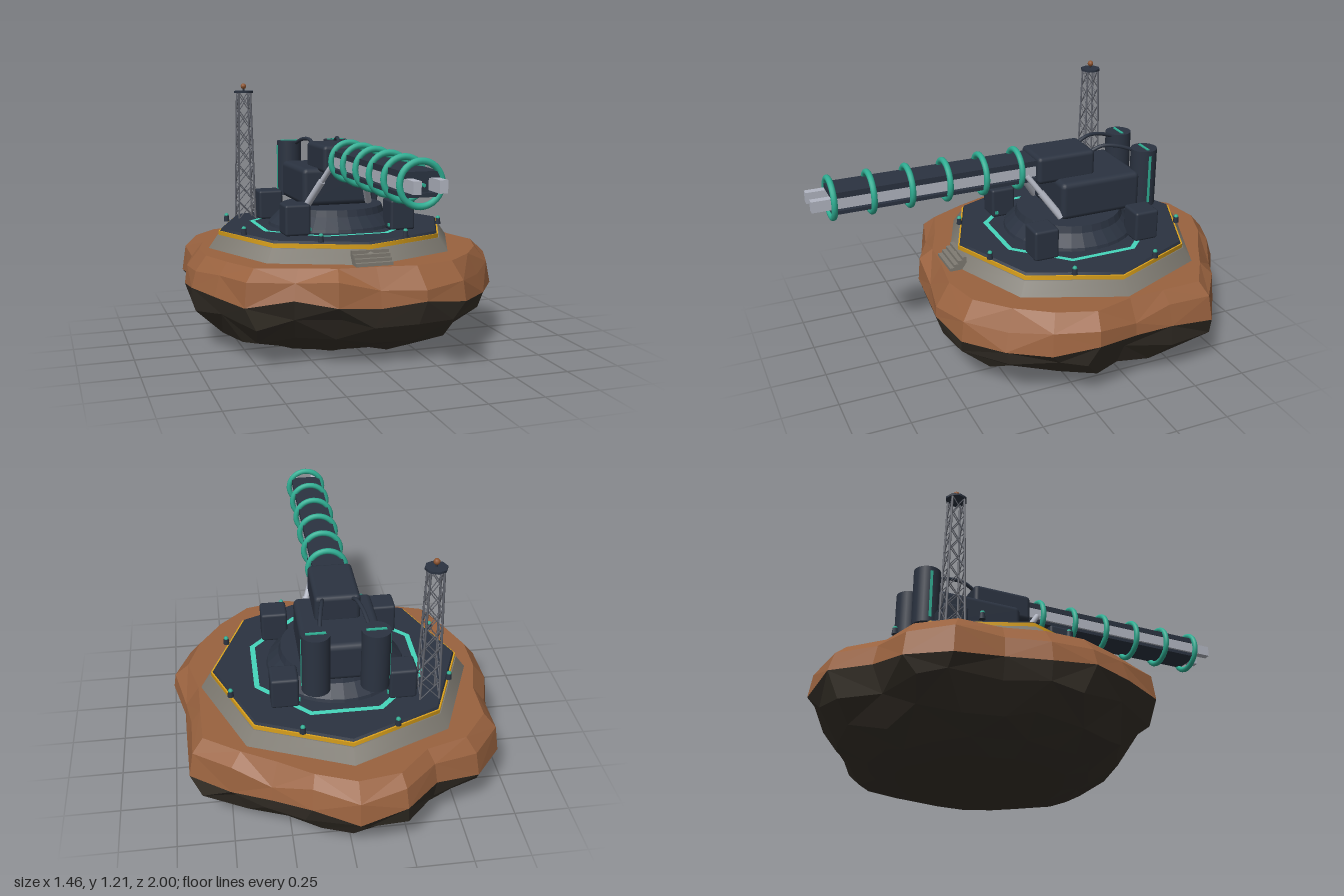
import * as THREE from 'three';
import { RoundedBoxGeometry } from 'three/addons/geometries/RoundedBoxGeometry.js';

const paint = (name, color, extra = {}) => {
  const m = new THREE.MeshStandardMaterial({ color, ...extra });
  m.name = name;
  return m;
};

export function createModel() {
  const brown = paint('brownRock', 0x99623f, { flatShading: true });
  const darkRock = paint('darkRock', 0x38322a, { flatShading: true });
  const concrete = paint('concrete', 0x7f7b72);
  const gold = paint('goldTrim', 0xdca21c);
  const navy = paint('navyArmour', 0x2b3341);
  const teal = paint('tealCoil', 0x2fae93);
  const glow = paint('tealGlow', 0x45d6bb);
  const light = paint('lightMetal', 0xb2b6c2);
  const steel = paint('towerSteel', 0x62656e);
  const rust = paint('beaconRust', 0x8f5530);

  const model = new THREE.Group();
  model.name = 'islandCannon';
  const site = new THREE.Group();
  site.name = 'site';
  site.position.set(-0.007, 0, -0.22);
  model.add(site);

  const add = (name, geo, mat, x = 0, y = 0, z = 0, parent = site) => {
    const m = new THREE.Mesh(geo, mat);
    m.name = name;
    m.position.set(x, y, z);
    parent.add(m);
    return m;
  };
  const box = (w, h, d) => new THREE.BoxGeometry(w, h, d);
  const rbox = (w, h, d, r) => new RoundedBoxGeometry(w, h, d, 2, r);
  const cyl = (rt, rb, h, n = 24) => new THREE.CylinderGeometry(rt, rb, h, n);
  const V = (x, y, z) => new THREE.Vector3(x, y, z);
  // Straight bar between two points
  const bar = (name, a, b, r, mat, n = 5) => {
    const m = add(name, cyl(r, r, a.distanceTo(b), n), mat);
    m.position.copy(a).add(b).multiplyScalar(0.5);
    m.quaternion.setFromUnitVectors(V(0, 1, 0), b.clone().sub(a).normalize());
    return m;
  };

  // Floating rock: outline radii every 15 degrees from +x towards +z, scaled per level
  const outline = [0.69, 0.765, 0.775, 0.785, 0.805, 0.77, 0.715, 0.725, 0.725, 0.795, 0.755, 0.75,
    0.725, 0.70, 0.78, 0.775, 0.70, 0.775, 0.778, 0.73, 0.695, 0.72, 0.785, 0.71];
  const levels = [[0, 0], [0, 0.5], [0.03, 0.66], [0.1, 0.85], [0.2, 0.97], [0.29, 1],
    [0.375, 0.995], [0.445, 0.9], [0.445, 0]];
  let seed = 7;
  const rnd = () => (seed = (seed * 16807) % 2147483647) / 2147483647;
  const rows = levels.map(([y, s], k) => outline.map((r, i) => {
    const inner = k > 1 && k < 7;
    const t = (i + (inner && k < 5 ? (rnd() - 0.5) * 0.5 : 0)) * Math.PI / 12;
    const soft = k < 4 ? 0.74 + (r - 0.74) * 0.7 : r;
    const rad = soft * s * (inner && k !== 5 ? 1 - rnd() * 0.035 : 1);
    const yy = y + (inner ? (rnd() - 0.5) * (k === 2 ? 0.03 : 0.055) : 0);
    return [rad * Math.cos(t), yy, rad * Math.sin(t)];
  }));
  const rockBand = (name, from, to, mat) => {
    const p = [];
    for (let k = from; k < to; k++) {
      for (let i = 0; i < 24; i++) {
        const j = (i + 1) % 24;
        const a = rows[k][i], b = rows[k][j], c = rows[k + 1][i], d = rows[k + 1][j];
        if ((i + k) % 2) p.push(...a, ...c, ...b, ...b, ...c, ...d);
        else p.push(...a, ...d, ...b, ...a, ...c, ...d);
      }
    }
    const g = new THREE.BufferGeometry();
    g.setAttribute('position', new THREE.Float32BufferAttribute(p, 3));
    g.computeVertexNormals();
    add(name, g, mat);
  };
  rockBand('lowerRock', 0, 5, darkRock);
  rockBand('upperRock', 5, 8, brown);

  // Octagonal foundation and deck
  add('foundation', cyl(0.565, 0.612, 0.066, 8), concrete, 0, 0.473, 0);
  add('goldEdge', cyl(0.56, 0.56, 0.02, 8), gold, 0, 0.515, 0);
  add('deck', cyl(0.546, 0.553, 0.012, 8), navy, 0, 0.53, 0);
  const inlay = add('deckInlay', new THREE.RingGeometry(0.381, 0.406, 8, 1, Math.PI / 8), glow, 0, 0.5385, 0);
  inlay.rotation.x = -Math.PI / 2;
  for (let i = 0; i < 4; i++) {
    const h = 0.06 - i * 0.015;
    add('step', box(0.17, h, 0.02), concrete, 0, 0.445 + h / 2, 0.56 + i * 0.02);
  }

  // Edge lamps
  for (let i = 0; i < 8; i++) {
    const t = (i + 0.5) * Math.PI / 4, x = 0.52 * Math.cos(t), z = 0.52 * Math.sin(t);
    add('lampPost', cyl(0.011, 0.014, 0.028, 8), navy, x, 0.549, z);
    add('lampLight', new THREE.SphereGeometry(0.011, 8, 6), teal, x, 0.564, z);
  }

  // Turret plinth with four corner lockers
  const plinth = [[0.31, 0.535], [0.305, 0.55], [0.255, 0.6], [0.245, 0.632], [0, 0.632]]
    .map(([r, y]) => new THREE.Vector2(r, y));
  const plinthGeo = new THREE.LatheGeometry(plinth, 32).toNonIndexed();
  plinthGeo.computeVertexNormals();
  add('plinth', plinthGeo, navy);
  for (const sx of [-1, 1]) for (const sz of [-1, 1]) {
    add('locker', rbox(0.12, 0.143, 0.117, 0.012), navy, sx * 0.254, 0.606, sz * 0.252);
    add('lockerLight', box(0.008, 0.014, 0.014), teal, sx * 0.192, 0.56, sz * 0.29);
  }

  // Turret body and breech
  add('turretBody', rbox(0.35, 0.18, 0.4, 0.025), navy, 0, 0.727, -0.085);
  add('breech', rbox(0.2, 0.13, 0.285, 0.02), navy, 0, 0.865, 0.057);

  // Rear capacitors, cables and elevation struts
  for (const s of [-1, 1]) {
    add('capacitor', cyl(0.061, 0.061, 0.275), navy, s * 0.125, 0.777, -0.325);
    add('capacitorStrip', box(0.006, 0.23, 0.012), teal, s * 0.185, 0.777, -0.325);
    add('capacitorTopLight', box(0.085, 0.006, 0.012), teal, s * 0.125, 0.916, -0.325);
    const path = new THREE.CatmullRomCurve3([V(s * 0.065, 0.91, -0.07), V(s * 0.075, 0.935, -0.13),
      V(s * 0.09, 0.93, -0.2), V(s * 0.105, 0.9, -0.29)]);
    add('cable', new THREE.TubeGeometry(path, 16, 0.009, 8), navy);
    bar('strutSleeve', V(s * 0.152, 0.65, 0.11), V(s * 0.105, 0.765, 0.19), 0.017, light, 12);
    bar('strutRod', V(s * 0.115, 0.74, 0.172), V(s * 0.072, 0.845, 0.245), 0.013, light, 12);
  }

  // Twin-rail barrel with coils
  const barrel = new THREE.Group();
  barrel.name = 'barrel';
  barrel.position.set(0, 0.862, 0.22);
  site.add(barrel);
  add('topCover', box(0.145, 0.026, 0.96), navy, 0, 0.037, 0.435, barrel);
  add('bottomCover', box(0.145, 0.016, 0.96), navy, 0, -0.041, 0.435, barrel);
  add('core', box(0.072, 0.06, 0.93), navy, 0, -0.004, 0.43, barrel);
  add('emitter', cyl(0.007, 0.007, 0.05, 10), teal, 0, 0, 0.915, barrel).rotation.x = Math.PI / 2;
  for (const s of [-1, 1]) add('rail', box(0.033, 0.05, 1.03), light, s * 0.053, 0, 0.485, barrel);
  for (let i = 0; i < 6; i++) {
    add('coil', new THREE.TorusGeometry(0.087, 0.0135, 10, 32), teal, 0, 0.002, 0.053 + i * 0.1706, barrel);
  }

  // Lattice tower
  const tx = -0.365, tz = -0.288, sections = 7;
  const corner = (k, c) => {
    const f = k / sections, w = 0.042 - 0.014 * f;
    return V(tx + (c === 0 || c === 3 ? w : -w), 0.535 + 0.63 * f, tz + (c < 2 ? w : -w));
  };
  for (let c = 0; c < 4; c++) {
    const n = (c + 1) % 4;
    bar('towerLeg', corner(0, c), corner(sections, c), 0.005, steel, 6);
    for (let k = 0; k < sections; k++) {
      bar('towerBrace', corner(k, c), corner(k + 1, n), 0.0024, steel);
      bar('towerBrace', corner(k, n), corner(k + 1, c), 0.0024, steel);
    }
  }
  add('towerPlatform', cyl(0.048, 0.048, 0.01, 8), navy, tx, 1.165, tz);
  add('beaconPost', cyl(0.005, 0.005, 0.02, 6), navy, tx, 1.176, tz);
  add('beacon', new THREE.SphereGeometry(0.014, 12, 8), rust, tx, 1.193, tz);

  return model;
}
